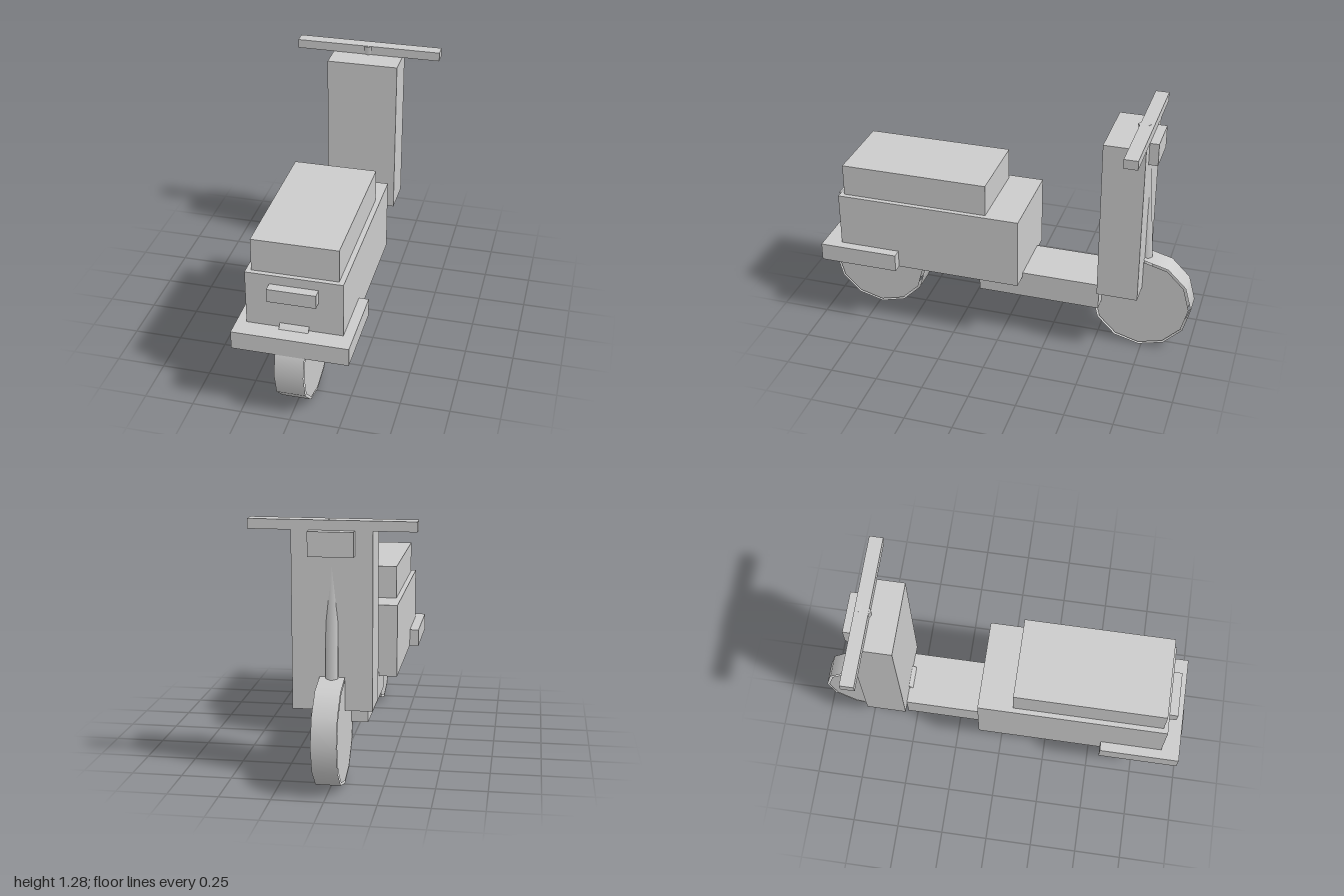
import * as THREE from 'three';

export function createModel() {
  const group = new THREE.Group();
  const grey = new THREE.MeshStandardMaterial({ color: 0xcccccc, side: THREE.DoubleSide });
  grey.name = 'light grey';

  const add = (name, geometry, parent = group) => {
    const mesh = new THREE.Mesh(geometry, grey);
    mesh.name = name;
    parent.add(mesh);
    return mesh;
  };

  // Box centred on x, given by half width and its y and z ranges
  const block = (name, halfWidth, y0, y1, z0, z1) =>
    add(name, new THREE.BoxGeometry(halfWidth * 2, y1 - y0, z1 - z0))
      .position.set(0, (y0 + y1) / 2, (z0 + z1) / 2);

  // Bodywork
  block('body', 0.24, 0.366, 0.748, -0.11, 0.878);
  block('seat', 0.214, 0.748, 0.918, 0.072, 0.854);
  block('rearFender', 0.29, 0.366, 0.461, 0.553, 0.976);
  block('tailLight', 0.12, 0.63, 0.7, 0.878, 0.926);
  block('floorboard', 0.144, 0.244, 0.388, -0.524, 0.13);
  block('legShield', 0.193, 0.366, 1.231, -0.736, -0.523);
  block('headlight', 0.108, 1.113, 1.231, -0.783, -0.736);
  block('handlebar', 0.398, 1.231, 1.279, -0.737, -0.666);

  // Wheels: smooth tread band with slightly smaller side discs
  const wheelRadius = 0.265;
  const wheel = (name, halfWidth, z) => {
    const part = new THREE.Group();
    part.name = name;
    part.position.set(0, wheelRadius, z);
    const tread = new THREE.CylinderGeometry(wheelRadius, wheelRadius, halfWidth * 2, 12, 1, true);
    add('tread', tread.rotateZ(Math.PI / 2), part);
    for (const side of [-1, 1]) {
      const disc = add('wheelDisc', new THREE.CircleGeometry(0.253, 12), part);
      disc.rotation.y = side * Math.PI / 2;
      disc.position.x = side * halfWidth;
    }
    group.add(part);
  };
  wheel('rearWheel', 0.073, 0.735);
  wheel('frontWheel', 0.061, -0.735);

  // Raked steering column from the front hub up to the handlebar
  const bottom = new THREE.Vector3(0, 0.265, -0.752);
  const top = new THREE.Vector3(0, 1.278, -0.688);
  const column = add('steeringColumn',
    new THREE.CylinderGeometry(0.034, 0.034, bottom.distanceTo(top), 6));
  column.position.lerpVectors(bottom, top, 0.5);
  column.rotation.x = Math.atan2(top.z - bottom.z, top.y - bottom.y);

  return group;
}
